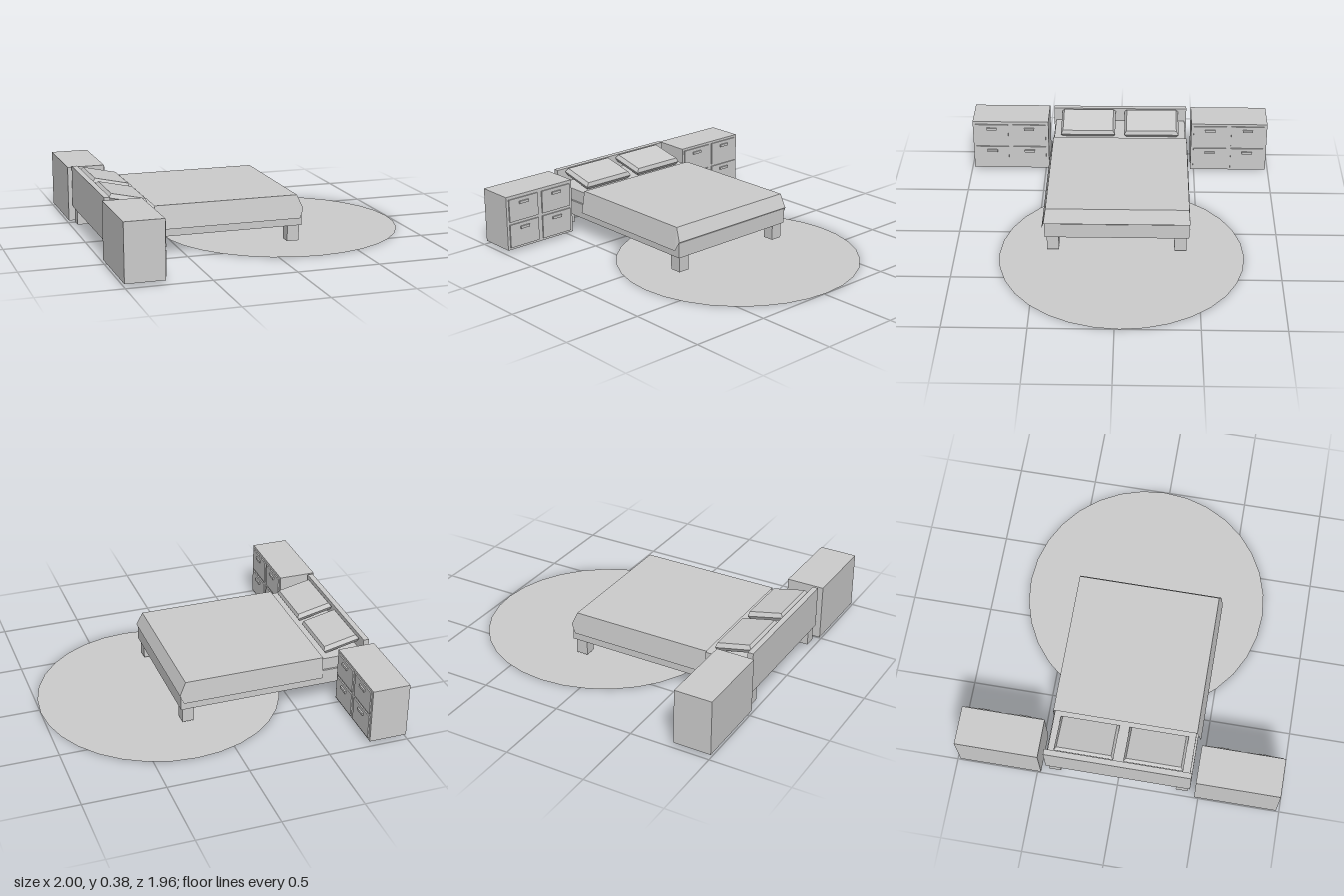
import * as THREE from 'three';

const mat = new THREE.MeshStandardMaterial({ color: 0xcccccc, flatShading: true });
const sheetMat = new THREE.MeshStandardMaterial({ color: 0xcccccc, flatShading: true, side: THREE.DoubleSide });

// Box given by its lower and upper limits on each axis
function box(name, [x0, x1], [y0, y1], [z0, z1]) {
  const mesh = new THREE.Mesh(new THREE.BoxGeometry(x1 - x0, y1 - y0, z1 - z0), mat);
  mesh.position.set((x0 + x1) / 2, (y0 + y1) / 2, (z0 + z1) / 2);
  mesh.name = name;
  return mesh;
}

// Cabinet with four drawers facing +x; side is the sign of z
function cabinet(side) {
  const g = new THREE.Group();
  g.name = side > 0 ? 'leftNightstand' : 'rightNightstand';
  const zc = side * 0.728;
  const top = side > 0 ? 0.37 : 0.366;
  g.add(box('cabinetBody', [-1, -0.765], [0.02, top], [zc - 0.252, zc + 0.252]));
  for (const z of [zc - 0.124, zc + 0.126]) {
    for (const [y0, y1] of [[0.035, 0.185], [0.203, 0.35]]) {
      g.add(box('drawerFront', [-0.77, -0.757], [y0, y1], [z - 0.109, z + 0.109]));
      const yh = y1 - 0.03;
      g.add(box('drawerHandle', [-0.76, -0.747], [yh - 0.008, yh + 0.008], [z - 0.034, z + 0.034]));
    }
  }
  return g;
}

// Pillow: box whose top and bottom faces are drawn in, leaning on the headboard
function pillow(side) {
  const geo = new THREE.BoxGeometry(0.235, 0.05, 0.36, 1, 2, 1);
  const p = geo.attributes.position;
  for (let i = 0; i < p.count; i++) {
    if (Math.abs(p.getY(i)) > 0.01) {
      p.setX(i, p.getX(i) - Math.sign(p.getX(i)) * 0.012);
      p.setZ(i, p.getZ(i) - Math.sign(p.getZ(i)) * 0.015);
    }
  }
  geo.computeVertexNormals();
  const mesh = new THREE.Mesh(geo, mat);
  mesh.position.set(-0.824, 0.337, side * 0.21);
  mesh.rotation.z = -0.22;
  mesh.name = 'pillow';
  return mesh;
}

// Blanket: thin sheet with a top, a sloped foot end and two hanging sides
function blanket() {
  const side = (top, mid, low) => [
    [-0.68, 0.305, top], [0.203, 0.305, top], [0.24, 0.22, mid], [0.215, 0.165, low], [-0.68, 0.165, low],
  ];
  const points = [...side(0.437, 0.45, 0.464), ...side(-0.443, -0.45, -0.454)];
  const faces = [
    0, 1, 6, 0, 6, 5, // top
    1, 2, 7, 1, 7, 6, // foot end
    0, 4, 3, 0, 3, 1, 1, 3, 2, // left side
    5, 8, 9, 5, 6, 8, 6, 7, 8, // right side
  ];
  const geo = new THREE.BufferGeometry();
  geo.setAttribute('position', new THREE.Float32BufferAttribute(points.flat(), 3));
  // wind the left side outward
  for (let i = 12; i < 21; i += 3) [faces[i + 1], faces[i + 2]] = [faces[i + 1], faces[i + 2]];
  geo.setIndex(faces);
  const flat = geo.toNonIndexed();
  flat.computeVertexNormals();
  const mesh = new THREE.Mesh(flat, sheetMat);
  mesh.name = 'blanket';
  return mesh;
}

export function createModel() {
  const model = new THREE.Group();
  model.name = 'bedroomSet';

  // Round rug, flat on the floor
  const rug = new THREE.Mesh(new THREE.CircleGeometry(0.755, 32), sheetMat);
  rug.rotation.x = -Math.PI / 2;
  rug.position.set(0.245, 0, -0.03);
  rug.name = 'rug';
  model.add(rug);

  // Bed
  const bed = new THREE.Group();
  bed.name = 'bed';
  bed.add(box('bedFrame', [-0.945, 0.232], [0.118, 0.213], [-0.445, 0.445]));
  bed.add(box('headboard', [-0.98, -0.945], [0.118, 0.38], [-0.445, 0.445]));
  bed.add(box('mattress', [-0.945, 0.2], [0.213, 0.29], [-0.433, 0.433]));
  for (const x of [-0.97, 0.145]) {
    for (const z of [-0.43, 0.358]) bed.add(box('bedLeg', [x, x + 0.074], [0.02, 0.119], [z, z + 0.074]));
  }
  bed.add(blanket());
  for (const s of [-1, 1]) {
    bed.add(pillow(s));
    model.add(cabinet(s));
  }
  model.add(bed);
  return model;
}
